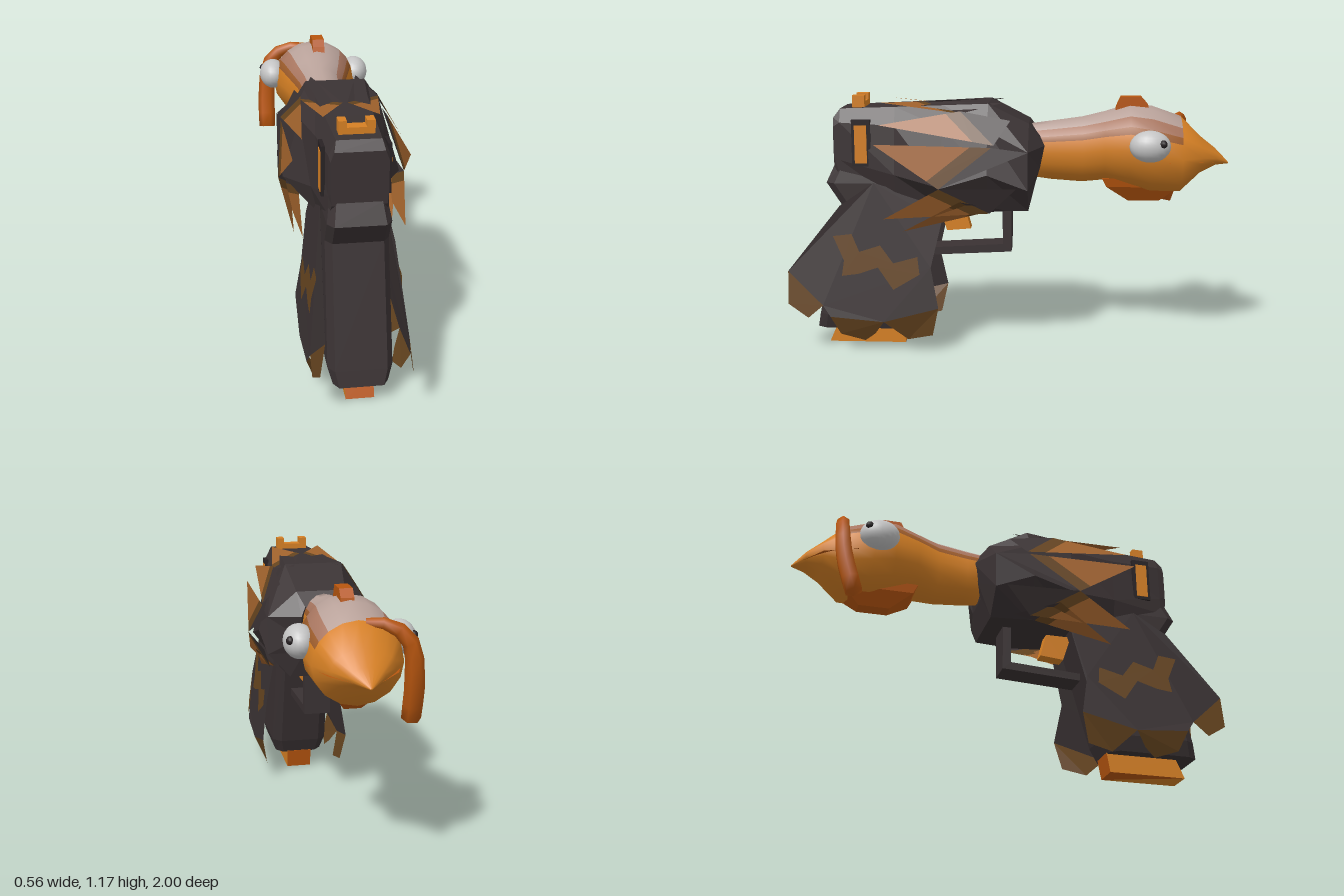
import * as THREE from 'three';

const mat = (name, color, extra = {}) => Object.assign(new THREE.MeshStandardMaterial({ color, side: THREE.DoubleSide, ...extra }), { name });

export function createModel() {
  const model = new THREE.Group();
  model.name = 'birdBlaster';
  const gun = new THREE.Group();
  gun.name = 'gun';
  gun.position.x = 0.01;
  model.add(gun);

  const M = {
    dark: mat('charcoal', 0x3a3233), umber: mat('umber', 0x65441f), feather: mat('featherBrown', 0xa0622c),
    orange: mat('orange', 0xd68024), deep: mat('deepOrange', 0xb8560f), pink: mat('palePink', 0xb8a199),
    tan: mat('tanPink', 0xa87660), rust: mat('rust', 0x9c5c2c), eye: mat('eyeGrey', 0xc4c4c4), black: mat('black', 0x282224),
  };

  const add = (parent, name, geo, material) => {
    const m = new THREE.Mesh(geo, material);
    m.name = name;
    parent.add(m);
    return m;
  };
  const box = (parent, name, x, y, z, w, h, d, material) => {
    const m = add(parent, name, new THREE.BoxGeometry(w, h, d), material);
    m.position.set(x, y, z);
    return m;
  };

  // Skin between closed rings of points, with end caps; matOf(i, j) gives a material index
  const loft = (rings, smooth = false, matOf = () => 0) => {
    const n = rings[0].length, pts = rings.flat(), lists = [];
    const tri = (k, ...t) => (lists[k] ??= []).push(...t);
    for (let i = 0; i < rings.length - 1; i++) {
      for (let j = 0; j < n; j++) {
        const a = i * n + j, b = i * n + (j + 1) % n;
        tri(matOf(i, j), a, b, b + n, a, b + n, a + n);
      }
    }
    const last = (rings.length - 1) * n;
    for (let j = 1; j < n - 1; j++) {
      tri(matOf(0, j), 0, j + 1, j);
      tri(matOf(rings.length - 2, j), last, last + j, last + j + 1);
    }
    const v = pts.map((p) => new THREE.Vector3(...p));
    let volume = 0;
    for (const l of lists) for (let i = 0; i < l.length; i += 3) volume += v[l[i]].dot(v[l[i + 1]].clone().cross(v[l[i + 2]]));
    if (volume < 0) for (const l of lists) l.reverse();
    let g = new THREE.BufferGeometry().setFromPoints(v);
    g.setIndex(lists.flat());
    if (!smooth) g = g.toNonIndexed();
    let start = 0;
    lists.forEach((l, k) => { g.addGroup(start, l.length, k); start += l.length; });
    g.computeVertexNormals();
    return g;
  };

  // Flat polygon fan through a few 3D points
  const plate = (parent, name, pts, material) => {
    const v = [];
    for (let i = 1; i < pts.length - 1; i++) v.push(...pts[0], ...pts[i], ...pts[i + 1]);
    const g = new THREE.BufferGeometry();
    g.setAttribute('position', new THREE.Float32BufferAttribute(v, 3));
    g.computeVertexNormals();
    add(parent, name, g, material);
  };

  // Body: faceted sections, each four [halfWidth, y, z] corners mirrored
  const half = (z, ...c) => c.map(([y, w, zz = z]) => [w, y, zz]);
  const body = [
    half(0.78, [1.07, 0.10], [1.03, 0.115], [0.90, 0.115], [0.85, 0.11]),
    half(0.75, [1.11, 0.09], [1.05, 0.12], [0.88, 0.12], [0.80, 0.12]),
    half(0.50, [1.12, 0.10], [1.04, 0.14], [0.82, 0.16], [0.70, 0.13]),
    half(0.28, [1.13, 0.11], [1.04, 0.18], [0.78, 0.255], [0.67, 0.15]),
    half(0.08, [1.14, 0.13], [1.03, 0.20], [0.84, 0.255], [0.66, 0.16]),
    half(-0.10, [1.05, 0.11], [0.94, 0.24], [0.77, 0.24], [0.66, 0.14]),
    half(-0.17, [0.99, 0.08, -0.15], [0.95, 0.10], [0.85, 0.10, -0.15], [0.78, 0.08, -0.13]),
  ].map((h) => [...h, ...h.map(([x, y, z]) => [-x, y, z]).reverse()]);
  add(gun, 'body', loft(body), [M.dark]);

  // Grip: octagonal sections stacked in height
  const grip = [
    [0.86, 0.78, 0.25, 0.115], [0.775, 0.82, 0.25, 0.13], [0.675, 0.755, 0.30, 0.13],
    [0.155, 0.87, 0.44, 0.135], [0.085, 0.885, 0.47, 0.115],
  ].map(([y, b, f, w]) => [[1, f + 0.04], [1, b - 0.04], [0.8, b], [-0.8, b], [-1, b - 0.04], [-1, f + 0.04], [-0.7, f], [0.7, f]]
    .map(([s, z]) => [s * w, y, z]));
  add(gun, 'grip', loft(grip), [M.dark]);

  // Magazine foot
  const foot = [[0, 0.84, 0.48], [0.09, 0.80, 0.465]].map(([y, b, f]) => [[-0.06, y, b], [0.06, y, b], [0.06, y, f], [-0.06, y, f]]);
  add(gun, 'magazine', loft(foot, false, (i, j) => (j % 2 ? 0 : 1)), [M.orange, M.deep]);

  // Trigger and guard, extruded across x from (z, y) outlines
  const acrossX = (name, outline, width, material) => {
    const s = new THREE.Shape(outline.map(([z, y]) => new THREE.Vector2(-z, y)));
    const g = new THREE.ExtrudeGeometry(s, { depth: width, bevelEnabled: false });
    g.translate(0, 0, -width / 2).rotateY(Math.PI / 2);
    return g && add(gun, name, g, material);
  };
  acrossX('triggerGuard', [[0.35, 0.465], [0.02, 0.485], [0.02, 0.68], [-0.02, 0.68], [-0.02, 0.45], [0.35, 0.43]], 0.12, M.dark);
  acrossX('trigger', [[0.32, 0.66], [0.20, 0.66], [0.17, 0.55], [0.28, 0.54]], 0.06, M.orange);

  // Rear sight
  box(gun, 'sightBase', 0, 1.122, 0.67, 0.145, 0.035, 0.055, M.orange);
  for (const s of [-1, 1]) box(gun, 'sightPost', s * 0.056, 1.15, 0.67, 0.033, 0.034, 0.055, M.orange);

  // Body feathers: root, two side corners, tip
  const feathers = [
    [[0.10, 1.14, 0.02], [0.01, 1.135, 0.38], [0.17, 1.10, 0.20], [0.115, 1.14, 0.56]],
    [[0.17, 1.07, -0.02], [0.165, 1.11, 0.20], [0.24, 0.97, 0.05], [0.20, 1.05, 0.56]],
    [[0.245, 0.94, -0.10], [0.24, 0.96, 0.06], [0.275, 0.78, 0.29], [0.24, 0.97, 0.58]],
    [[0.25, 0.78, -0.05], [0.275, 0.78, 0.29], [0.205, 0.66, 0.07], [0.235, 0.635, 0.54]],
    [[0.18, 0.67, 0.0], [0.255, 0.72, 0.20], [0.17, 0.655, 0.10], [0.19, 0.57, 0.46]],
  ];
  const mix = (a, b, t) => a.map((v, i) => v + (b[i] - v) * t);

  // Tail panels on the grip: (z, y) outlines pushed out to the flare of the panel
  const flare = (z, y) => 0.145 + 0.135 * (0.7 - y) - 0.6 * Math.max(0, 0.15 - y) - 0.12 * Math.max(0, z - 0.8);
  const panel = (name, outline, s, lift, material) => {
    const g = new THREE.ShapeGeometry(new THREE.Shape(outline.map(([z, y]) => new THREE.Vector2(z, y))));
    const p = g.attributes.position;
    for (let i = 0; i < p.count; i++) {
      const z = p.getX(i), y = p.getY(i);
      p.setXYZ(i, s * (flare(z, y) + lift), y, z);
    }
    const flat = g.toNonIndexed();
    flat.computeVertexNormals();
    add(gun, name, flat, material);
  };
  const fan = [[0.755, 0.675], [1.0, 0.37], [0.835, 0.22], [0.80, 0.17], [0.555, 0.15], [0.305, 0.215], [0.34, 0.40], [0.29, 0.61], [0.33, 0.70], [0.60, 0.78]];
  const tips = [
    [[1.0, 0.37], [1.0, 0.22], [0.905, 0.16], [0.835, 0.22]],
    [[0.80, 0.17], [0.76, 0.08], [0.65, 0.045], [0.60, 0.085], [0.555, 0.15]],
    [[0.555, 0.15], [0.45, 0.055], [0.335, 0.08], [0.305, 0.215]],
  ];
  const zigzag = [[0.785, 0.54], [0.70, 0.55], [0.665, 0.47], [0.57, 0.50], [0.51, 0.42], [0.40, 0.45],
    [0.39, 0.37], [0.51, 0.30], [0.58, 0.40], [0.67, 0.37], [0.745, 0.36], [0.735, 0.43]];

  for (const s of [-1, 1]) {
    for (const f of feathers) {
      const [root, a, b, tip] = f.map(([x, y, z]) => [s * x, y, z]);
      const a2 = mix(a, tip, 0.18), b2 = mix(b, tip, 0.18);
      plate(gun, 'featherRoot', [root, a, b], M.dark);
      plate(gun, 'featherBand', [a, b, b2, a2], M.umber);
      plate(gun, 'featherTip', [a2, b2, tip], M.feather);
    }
    panel('tailPanel', fan, s, 0, M.dark);
    tips.forEach((t) => panel('tailTip', t, s, 0, M.umber));
    panel('tailZigzag', zigzag, s, 0.006, M.umber);
    // Side window
    box(gun, 'windowFrame', s * 0.133, 0.96, 0.65, 0.016, 0.21, 0.085, M.black);
    box(gun, 'window', s * 0.14, 0.955, 0.652, 0.008, 0.17, 0.055, M.orange);
  }

  // Neck, head and beak: smooth sections [z, top, bottom, halfWidth], striped by angle from the crown
  const head = new THREE.Group();
  head.name = 'head';
  model.add(head);
  const side = [0, 20, 40, 57, 68, 90, 112, 135, 158];
  const angles = [...side, 180, ...side.slice(1).reverse().map((a) => 360 - a)];
  const neck = [
    [-0.05, 1.03, 0.80, 0.10], [-0.20, 1.05, 0.78, 0.105], [-0.34, 1.07, 0.77, 0.12], [-0.44, 1.095, 0.78, 0.155],
    [-0.55, 1.13, 0.755, 0.19], [-0.65, 1.12, 0.73, 0.20], [-0.78, 1.075, 0.73, 0.185], [-0.87, 0.985, 0.82, 0.13],
    [-0.94, 0.93, 0.855, 0.07], [-1.0, 0.868, 0.86, 0.004],
  ].map(([z, t, b, w]) => angles.map((d) => {
    const a = THREE.MathUtils.degToRad(d);
    return [w * Math.sin(a), (t + b) / 2 + (t - b) / 2 * Math.cos(a), z];
  }));
  const stripe = (i, j) => {
    const k = Math.min(j, angles.length - 1 - j);
    return i > 5 || k > 3 ? 3 : k < 2 ? 0 : k - 1;
  };
  add(head, 'neckAndHead', loft(neck, true, stripe), [M.pink, M.tan, M.rust, M.orange]);
  plate(head, 'beakLip', [[0, 0.868, -1], [0.14, 0.885, -0.87], [0.195, 0.89, -0.72], [-0.195, 0.89, -0.72], [-0.14, 0.885, -0.87]], M.deep);

  // Eyes
  for (const s of [-1, 1]) {
    const eye = add(head, 'eye', new THREE.SphereGeometry(1, 20, 14), M.eye);
    eye.scale.set(0.065, 0.07, 0.09);
    eye.position.set(s * 0.205, 0.965, -0.632);
    const pupil = add(head, 'pupil', new THREE.SphereGeometry(0.018, 10, 8), M.black);
    pupil.position.set(s * 0.249, 0.982, -0.685);
  }

  // Comb on the crown and wattle under the chin
  const wedge = (name, x, rows, w, material) => add(head, name,
    loft(rows.map(([y, b, f, k = 1]) => [[x - w * k, y, b], [x + w * k, y, b], [x + w * k, y, f], [x - w * k, y, f]])), [material]);
  wedge('comb', 0.01, [[1.09, -0.48, -0.64], [1.13, -0.495, -0.63], [1.163, -0.51, -0.60]], 0.028, M.deep);
  wedge('wattle', 0, [[0.80, -0.43, -0.80], [0.76, -0.45, -0.77, 0.9], [0.69, -0.55, -0.69, 0.4]], 0.09, M.deep);

  // Snood draped over the beak to one side, widening toward its end
  const path = new THREE.CatmullRomCurve3([[-0.03, 1.06, -0.77], [-0.13, 1.05, -0.79], [-0.205, 0.98, -0.80], [-0.228, 0.82, -0.785], [-0.232, 0.65, -0.735]]
    .map((p) => new THREE.Vector3(...p)));
  const rings = [];
  const frames = path.computeFrenetFrames(8);
  for (let i = 0; i <= 8; i++) {
    const c = path.getPointAt(i / 8), r = 0.02 + 0.022 * Math.sin(Math.PI * 0.6 * i / 8);
    rings.push([0, 1, 2, 3, 4, 5].map((k) => {
      const a = k * Math.PI / 3;
      return c.clone().addScaledVector(frames.normals[i], r * Math.cos(a)).addScaledVector(frames.binormals[i], r * Math.sin(a)).toArray();
    }));
  }
  add(head, 'snood', loft(rings, true), [M.deep]);

  return model;
}
